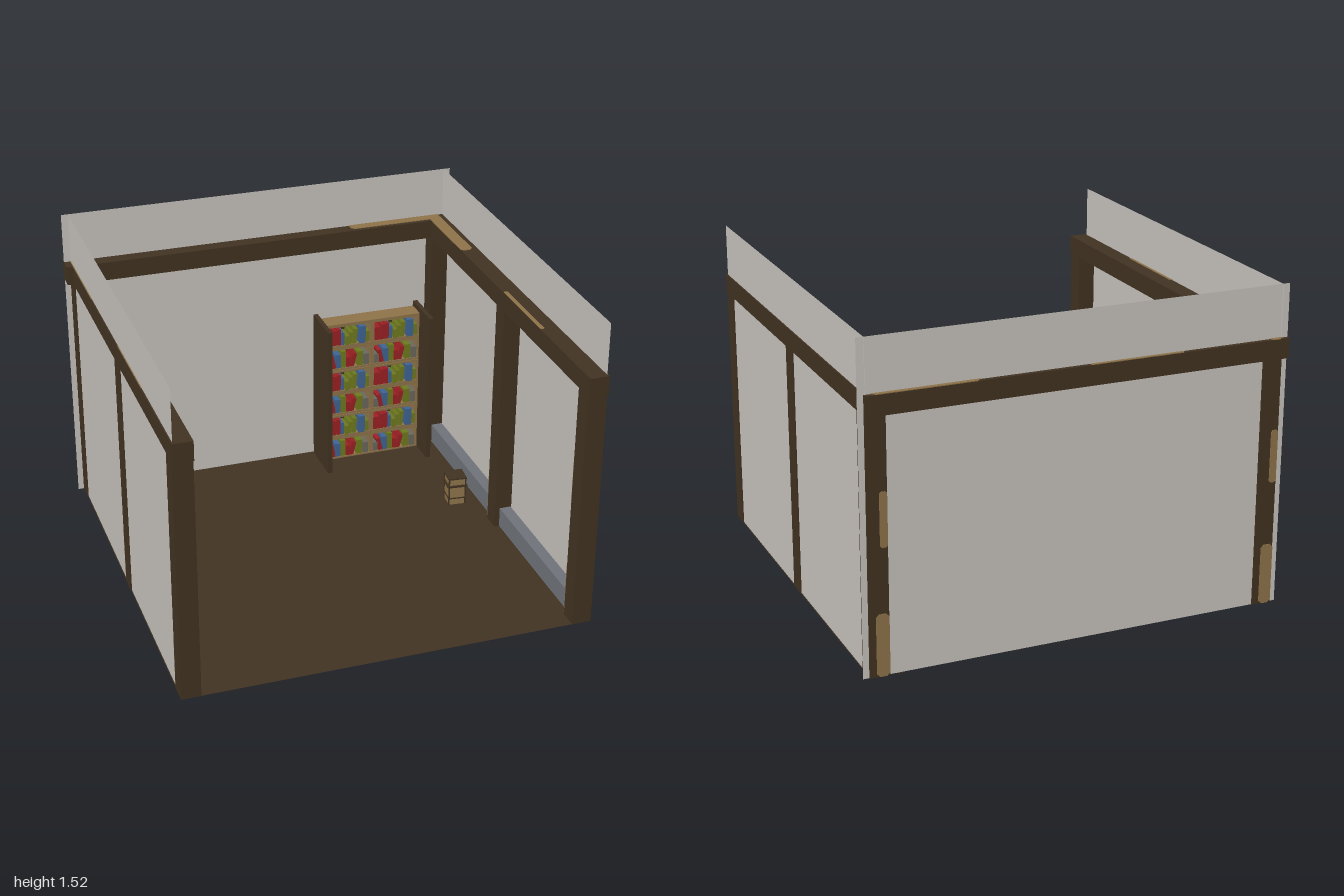
import * as THREE from 'three';

export function createModel() {
  const room = new THREE.Group();
  room.name = 'room';
  const mat = (name, color, side = THREE.FrontSide) => {
    const m = new THREE.MeshStandardMaterial({ color, side });
    m.name = name;
    return m;
  };
  const darkWood = mat('dark wood', 0x423322, THREE.DoubleSide);
  const wornWood = mat('worn wood', 0x8f744a);
  const plaster = mat('plaster', 0xc9c5c0, THREE.DoubleSide);
  const stone = mat('stone', 0x70747a);
  const red = mat('red cover', 0x9c2024);
  const blue = mat('blue cover', 0x3f6493);
  const olive = mat('olive cover', 0x6f7a1e);
  const grey = mat('grey cover', 0x6b6860);

  const add = (parent, name, geometry, material) => {
    const mesh = new THREE.Mesh(geometry, material);
    mesh.name = name;
    parent.add(mesh);
    return mesh;
  };
  // box given by its lower and upper bounds on each axis
  const box = (parent, name, material, [x0, x1], [y0, y1], [z0, z1]) => {
    const mesh = add(parent, name, new THREE.BoxGeometry(x1 - x0, y1 - y0, z1 - z0), material);
    mesh.position.set((x0 + x1) / 2, (y0 + y1) / 2, (z0 + z1) / 2);
    return mesh;
  };
  // thin worn patch with clipped corners, lying in the xy plane
  const patch = (name, w, h) => {
    const c = Math.min(w, h) * 0.25, a = w / 2, b = h / 2;
    const pts = [[-a + c, -b], [a - c, -b], [a, -b + c], [a, b - c], [a - c, b], [-a + c, b], [-a, b - c], [-a, -b + c]];
    const shape = new THREE.Shape(pts.map(([x, y]) => new THREE.Vector2(x, y)));
    const g = new THREE.ExtrudeGeometry(shape, { depth: 0.004, bevelEnabled: false });
    return add(room, name, g, wornWood);
  };

  // floor and walls
  const floor = add(room, 'floor', new THREE.PlaneGeometry(1.94, 1.94), darkWood);
  floor.rotation.x = -Math.PI / 2;
  floor.position.y = 0.01;
  const backWall = add(room, 'backWall', new THREE.PlaneGeometry(2, 1.51), plaster);
  backWall.position.set(0, 0.765, -0.97);
  for (const s of [-1, 1]) {
    const wall = add(room, 'sideWall', new THREE.PlaneGeometry(1.945, 1.51), plaster);
    wall.rotation.y = s * Math.PI / 2;
    wall.position.set(s * 0.966, 0.765, -0.002);
  }

  // posts, side beams and baseboards
  for (const s of [-1, 1]) {
    const xs = s < 0 ? [-0.972, -0.88] : [0.88, 0.972];
    for (const z of [-0.931, 0.005, 0.925]) {
      box(room, 'post', darkWood, xs, [0.01, 1.185], [z - 0.046, z + 0.046]);
      patch('postWear', 0.06, 0.29).position.set(xs[0] + 0.03, 0.155, z - 0.049);
      patch('postWear', 0.035, 0.25).position.set(xs[0] + 0.018, 0.725, z - 0.049);
    }
    box(room, 'sideBeam', darkWood, xs, [1.183, 1.275], [-0.9, 0.985]);
    box(room, 'baseboard', stone, s < 0 ? [-0.962, -0.905] : [0.905, 0.962], [0.01, 0.11], [-0.88, 0.88]);
  }
  box(room, 'backBeam', darkWood, [-1, 0.972], [1.183, 1.275], [-0.99, -0.9]);

  // wear on the beam tops: x range, z range
  for (const [x0, x1, z0, z1] of [
    [-0.97, -0.91, -0.99, -0.49], [-0.97, -0.955, 0.03, 0.46], [-0.48, -0.04, -0.99, -0.975],
    [0.46, 0.94, -0.99, -0.92], [0.88, 0.94, -0.96, -0.49], [0.88, 0.9, 0.03, 0.46],
  ]) {
    const p = patch('beamWear', x1 - x0, z1 - z0);
    p.rotation.x = -Math.PI / 2;
    p.position.set((x0 + x1) / 2, 1.274, (z0 + z1) / 2);
  }
  const endWear = patch('beamEndWear', 0.02, 0.065);
  endWear.rotation.y = Math.PI / 2;
  endWear.position.set(0.97, 1.242, -0.905);

  // bookcase frame
  const bookcase = new THREE.Group();
  bookcase.name = 'bookcase';
  room.add(bookcase);
  const depth = [-0.955, -0.86];
  box(bookcase, 'sideBoard', darkWood, [0.268, 0.291], [0, 0.815], [-0.96, -0.72]);
  box(bookcase, 'sideBoard', darkWood, [0.812, 0.836], [0, 0.815], [-0.96, -0.72]);
  box(bookcase, 'backPanel', darkWood, [0.291, 0.812], [0.005, 0.785], [-0.96, -0.95]);
  for (const [a, b] of [[0.291, 0.304], [0.543, 0.565], [0.8, 0.812]])
    box(bookcase, 'upright', wornWood, [a, b], [0.005, 0.785], depth);
  for (let i = 0; i <= 6; i++) {
    const y = 0.13 * i + 0.005;
    // paired boards where two case units are stacked
    if (i === 2 || i === 4) {
      box(bookcase, 'shelf', wornWood, [0.291, 0.812], [y - 0.012, y - 0.001], [-0.955, -0.858]);
      box(bookcase, 'shelf', wornWood, [0.291, 0.812], [y + 0.001, y + 0.013], [-0.955, -0.858]);
    } else {
      const lo = i === 0 ? 0 : 0.013, hi = i === 6 ? 0.004 : 0.013;
      box(bookcase, 'shelf', wornWood, [0.291, 0.812], [y - lo, y + hi], [-0.955, -0.858]);
    }
  }

  // books: start, width, height, cover, lean, extra reach forward
  const rowUpper = [
    [0.002, 0.032, 0.072, red, 0, 0], [0.036, 0.022, 0.084, red, -0.06, 0], [0.06, 0.02, 0.088, red, 0, 0],
    [0.083, 0.016, 0.068, blue, 0, 0], [0.104, 0.018, 0.05, olive, 0, 0.008], [0.124, 0.018, 0.066, olive, -0.12, 0],
    [0.146, 0.022, 0.082, olive, -0.1, 0], [0.178, 0.034, 0.094, blue, 0, 0.008], [0.215, 0.02, 0.06, olive, 0, 0],
  ];
  const rowLower = [
    [0.002, 0.026, 0.05, grey, 0, 0], [0.026, 0.022, 0.072, red, 0.22, 0], [0.05, 0.03, 0.076, blue, 0, 0],
    [0.083, 0.026, 0.092, olive, 0, 0], [0.112, 0.02, 0.056, red, 0, 0], [0.136, 0.024, 0.072, red, -0.25, 0],
    [0.17, 0.032, 0.08, olive, 0, 0], [0.206, 0.028, 0.062, grey, 0, 0],
  ];
  for (let row = 0; row < 6; row++) {
    for (const x of [0.304, 0.565]) {
      for (const [dx, w, h, cover, lean, reach] of row % 2 ? rowUpper : rowLower) {
        const y = 0.13 * row + 0.017;
        const book = box(bookcase, 'book', cover, [x + dx, x + dx + w], [y, y + h], [-0.945, -0.862 + reach]);
        book.rotation.z = lean;
      }
    }
  }

  // crates: square body, corner strips, bands and rim
  const crate = (name, x, z, angle, w, h, closed) => {
    const g = new THREE.Group();
    g.name = name;
    g.position.set(x, 0.008, z);
    g.rotation.y = angle;
    room.add(g);
    const r = w / 2, t = w * 0.07;
    const square = (part, material, half, y0, y1) =>
      box(g, part, material, [-half, half], [y0, y1], [-half, half]);
    square('crateBody', wornWood, r - 0.003, 0, h - 0.006);
    for (const sx of [-1, 1]) for (const sz of [-1, 1]) {
      const strip = box(g, 'cornerStrip', darkWood, [-t / 2, t / 2], [0, h], [-t / 2, t / 2]);
      strip.position.x = sx * (r - t / 2);
      strip.position.z = sz * (r - t / 2);
    }
    square('upperBand', darkWood, r * 1.14, h * 0.67, h * 0.73);
    square('lowerBand', darkWood, r + 0.001, h * 0.23, h * 0.265);
    if (closed) square('lid', darkWood, r + 0.002, h * 0.95, h);
    else for (let i = 0; i < 4; i++) {
      const side = new THREE.Group();
      side.name = 'rimSide';
      side.rotation.y = i * Math.PI / 2;
      g.add(side);
      box(side, 'rim', darkWood, [-r, r], [h * 0.945, h], [r - t, r]);
    }
  };
  crate('largeCrate', -0.645, -0.49, -0.1, 0.147, 0.244, false);
  crate('smallCrate', 0.79, -0.257, -0.1, 0.09, 0.152, true);

  return room;
}
